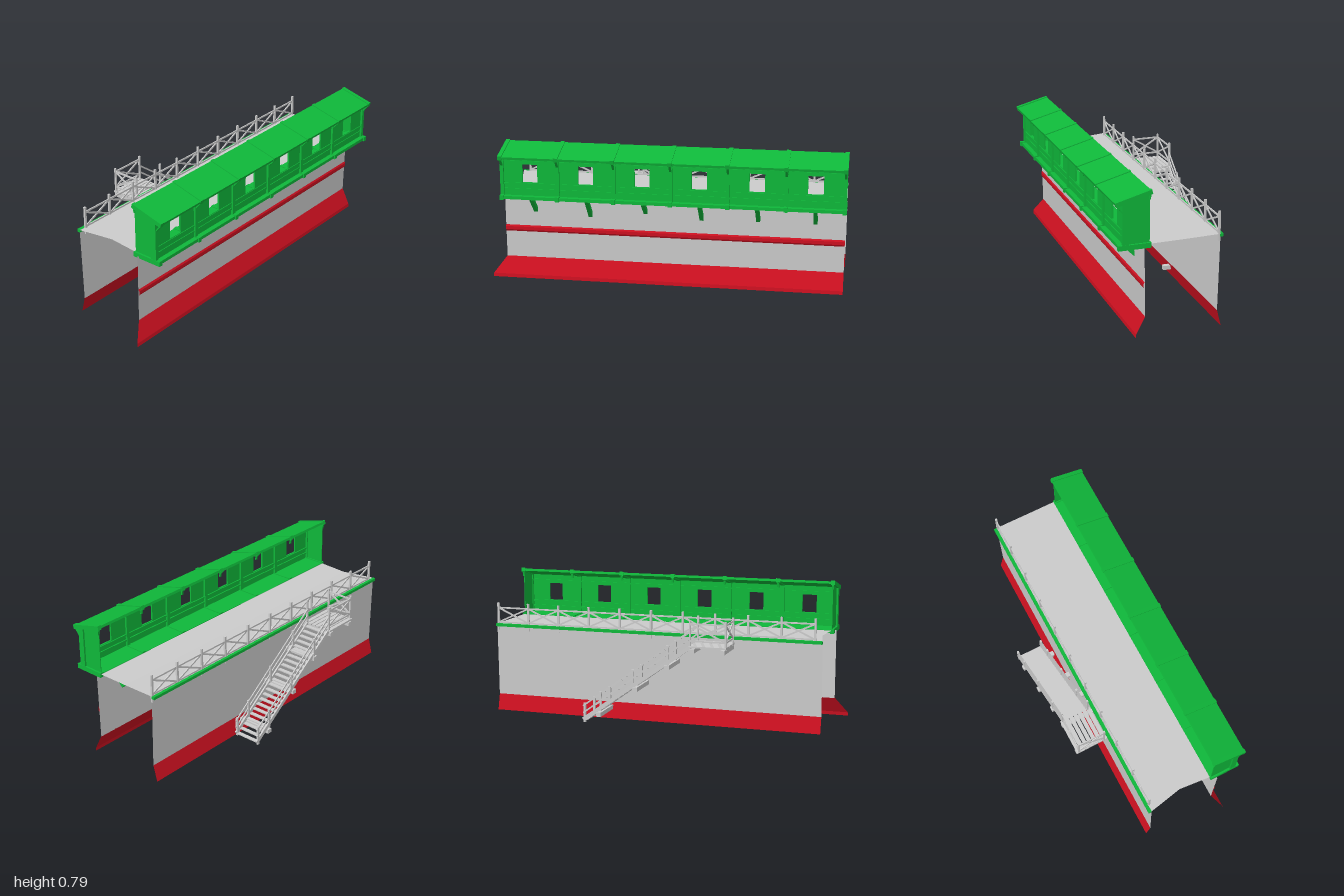
import * as THREE from 'three';

const mat = (color) => new THREE.MeshStandardMaterial({ color, side: THREE.DoubleSide, flatShading: true });

export function createModel() {
  const root = new THREE.Group();
  const grey = mat(0xcccccc), green = mat(0x0fb83a), red = mat(0xcc1020);

  const group = (name) => {
    const g = new THREE.Group();
    g.name = name;
    root.add(g);
    return g;
  };
  const add = (parent, name, geo, m) => {
    const mesh = new THREE.Mesh(geo, m);
    mesh.name = name;
    parent.add(mesh);
    return mesh;
  };
  // Box given by its minimum and maximum corners
  const box = (parent, name, m, a, b) => {
    const mesh = add(parent, name, new THREE.BoxGeometry(b[0] - a[0], b[1] - a[1], b[2] - a[2]), m);
    mesh.position.set((a[0] + b[0]) / 2, (a[1] + b[1]) / 2, (a[2] + b[2]) / 2);
  };
  // Timber running between two points
  const beam = (parent, name, m, a, b, w, h = w) => {
    const p = new THREE.Vector3(...a), q = new THREE.Vector3(...b);
    const mesh = add(parent, name, new THREE.BoxGeometry(w, h, p.distanceTo(q)), m);
    mesh.position.copy(p).add(q).multiplyScalar(0.5);
    mesh.lookAt(q);
  };
  // Open sheet along x; rows are [xStart, xEnd, y, z]
  const sheet = (parent, name, m, rows) => {
    const pos = [];
    for (let i = 0; i < rows.length - 1; i++) {
      const [a0, a1, ay, az] = rows[i], [b0, b1, by, bz] = rows[i + 1];
      pos.push(a0, ay, az, b0, by, bz, b1, by, bz, a0, ay, az, b1, by, bz, a1, ay, az);
    }
    const geo = new THREE.BufferGeometry();
    geo.setAttribute('position', new THREE.Float32BufferAttribute(pos, 3));
    geo.computeVertexNormals();
    add(parent, name, geo, m);
  };
  // Railing panel: two rails and a cross between points at floor level
  const crossPanel = (parent, a, b, low, high) => {
    const up = (p, h) => [p[0], p[1] + h, p[2]];
    for (const [s, e] of [[low, low], [high, high], [low, high], [high, low]])
      beam(parent, 'railingBar', grey, up(a, s), up(b, e), 0.006, 0.009);
  };

  // Rampart walls, walkway and painted bands
  const L = -0.93, R = 0.99;
  const walls = group('rampart');
  sheet(walls, 'frontWall', grey, [[L, R, 0.505, 0.235], [L, R, 0.11, 0.23]]);
  sheet(walls, 'frontSkirt', red, [[L, R, 0.113, 0.23], [-1, R, 0.02, 0.278], [-1, R, 0, 0.28]]);
  sheet(walls, 'frontBand', red,
    [[L, R, 0.302, 0.233], [L, R, 0.293, 0.239], [L, R, 0.275, 0.239], [L, R, 0.265, 0.233]]);
  sheet(walls, 'backWall', grey, [[L, R, 0.512, -0.175], [L, R, 0.09, -0.166]]);
  sheet(walls, 'backSkirt', red, [[L, R, 0.092, -0.166], [L, R, 0, -0.19]]);
  sheet(walls, 'walkway', grey,
    [[-0.91, R, 0.507, 0.235], [-0.89, R, 0.509, 0.02], [L, R, 0.513, -0.178]]);
  box(walls, 'backEdgeTrim', green, [L, 0.498, -0.192], [R, 0.514, -0.174]);

  // Covered gallery
  const gallery = group('gallery');
  const bays = 6, x0 = -0.91, x1 = 0.985, step = (x1 - x0) / bays;
  box(gallery, 'galleryFloor', green, [x0, 0.492, 0.2], [x1, 0.51, 0.368]);
  const front = new THREE.Shape([[x0, 0.505], [x1, 0.505], [x1, 0.745], [x0, 0.745]].map(p => new THREE.Vector2(...p)));
  for (let i = 0; i < bays; i++) {
    const c = x0 + (i + 0.5) * step;
    const w = [[c - 0.042, 0.585], [c - 0.042, 0.688], [c + 0.042, 0.688], [c + 0.042, 0.585]];
    front.holes.push(new THREE.Path(w.map(p => new THREE.Vector2(...p))));
  }
  add(gallery, 'windowWall', new THREE.ExtrudeGeometry(front, { depth: 0.01, bevelEnabled: false }), green)
    .position.z = 0.33;
  beam(gallery, 'roof', green, [0.0375, 0.73, 0.387], [0.0375, 0.782, 0.198], x1 - x0, 0.014);
  for (const y of [0.54, 0.572, 0.7])
    box(gallery, 'wallRail', green, [x0, y, 0.323], [x1, y + 0.01, 0.344]);

  // Frames between bays
  for (let i = 0; i <= bays; i++) {
    const x = x0 + i * step;
    box(gallery, 'framePost', green, [x - 0.01, 0.51, 0.318], [x + 0.01, 0.748, 0.352]);
    box(gallery, 'floorBeam', green, [x - 0.011, 0.488, 0.2], [x + 0.011, 0.515, 0.375]);
    beam(gallery, 'rafter', green, [x, 0.73, 0.389], [x, 0.782, 0.196], 0.023, 0.024);
    beam(gallery, 'eaveBrace', green, [x, 0.725, 0.383], [x, 0.682, 0.348], 0.012, 0.007);
    beam(gallery, 'rearBrace', green, [x, 0.767, 0.204], [x, 0.742, 0.208], 0.012, 0.008);
  }

  // End panels with a sloping top
  const end = new THREE.Shape([[-0.33, 0.51], [-0.206, 0.51], [-0.206, 0.775], [-0.33, 0.742]]
    .map(p => new THREE.Vector2(...p)));
  for (const x of [x0, x1 - 0.004]) {
    const panel = add(gallery, 'endPanel', new THREE.ExtrudeGeometry(end, { depth: 0.004, bevelEnabled: false }), green);
    panel.rotation.y = Math.PI / 2;
    panel.position.x = x;
  }

  // Diagonal struts below the gallery
  [0.375, 0.355, 0.395, 0.365, 0.375, 0.375].forEach((y, i) => {
    const x = x0 + (i + 0.5) * step;
    beam(gallery, 'strut', green, [x, 0.488, 0.322], [x, y - 0.008, 0.2], 0.022, 0.022);
  });

  // Back railing
  const railing = group('backRailing');
  const panels = 10, rs = 1.87 / panels;
  for (let i = 0; i <= panels; i++) {
    const x = 0.982 - i * rs;
    box(railing, 'railingPost', grey, [x - 0.006, 0.475, -0.176], [x + 0.006, 0.635, -0.165]);
    if (i < panels) crossPanel(railing, [x, 0.51, -0.17], [x - rs, 0.51, -0.17], 0.01, 0.095);
  }

  // Landing
  const landing = group('landing');
  for (let i = 0; i < 7; i++) {
    const z = -0.195 - i * 0.027;
    box(landing, 'plank', grey, [-0.445, 0.474, z - 0.022], [-0.235, 0.484, z]);
  }
  for (const x of [-0.425, -0.255])
    box(landing, 'landingBeam', grey, [x - 0.012, 0.445, -0.38], [x + 0.012, 0.468, -0.13]);
  for (const [x, z] of [[-0.44, -0.21], [-0.44, -0.366], [-0.24, -0.366], [-0.24, -0.21]])
    box(landing, 'landingPost', grey, [x - 0.005, 0.47, z - 0.005], [x + 0.005, 0.625, z + 0.005]);
  crossPanel(landing, [-0.44, 0.505, -0.21], [-0.44, 0.505, -0.366], 0.005, 0.1);
  crossPanel(landing, [-0.44, 0.505, -0.366], [-0.24, 0.505, -0.366], 0.005, 0.1);

  // Stair
  const stair = group('stair');
  const sx0 = -0.24, sx1 = 0.385;
  const stairY = (x) => 0.475 - (x - sx0) * 0.735;
  const treads = 23;
  for (let i = 0; i < treads; i++) {
    const x = sx0 + (i + 0.5) * (sx1 - sx0) / treads, y = stairY(x);
    box(stair, 'tread', grey, [x - 0.011, y - 0.003, -0.362], [x + 0.011, y + 0.003, -0.214]);
  }
  for (const z of [-0.213, -0.364]) {
    beam(stair, 'stringer', grey, [sx0, stairY(sx0), z], [sx1, stairY(sx1) + 0.012, z], 0.009, 0.022);
    for (const h of [0.05, 0.09])
      beam(stair, 'handrail', grey, [sx0, stairY(sx0) + h, z], [sx1, stairY(sx1) + h, z], 0.006, 0.009);
    for (const x of [-0.11, 0.09, 0.28, 0.375])
      box(stair, 'stairPost', grey, [x - 0.006, stairY(x) - 0.01, z - 0.006], [x + 0.006, stairY(x) + 0.1, z + 0.006]);
  }
  for (const x of [-0.11, 0.075, 0.29]) {
    const y = stairY(x) - 0.022;
    box(stair, 'stairBeam', grey, [x - 0.014, y - 0.012, -0.378], [x + 0.014, y + 0.012, -0.13]);
  }

  return root;
}
